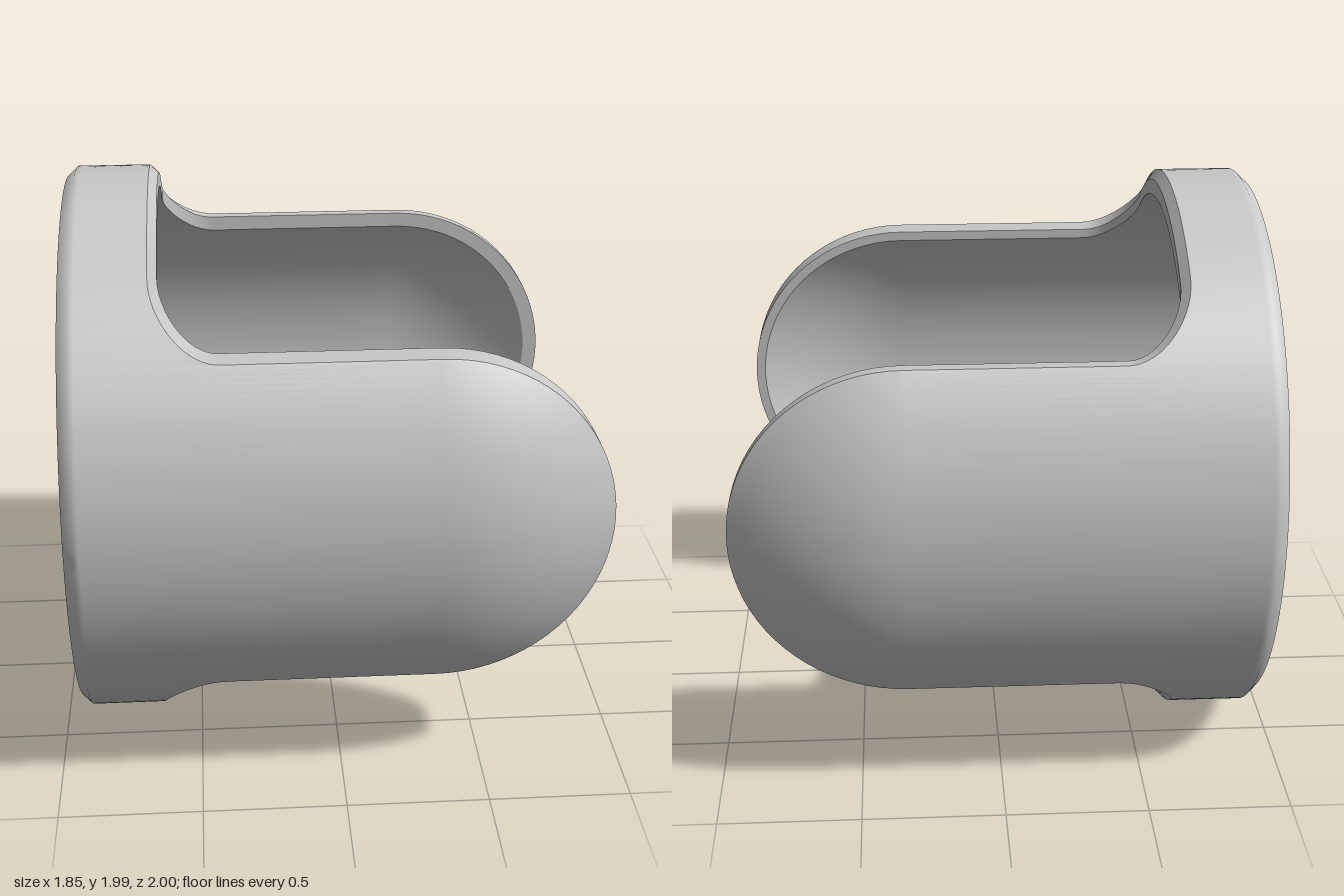
import * as THREE from 'three';
import { toCreasedNormals } from 'three/addons/utils/BufferGeometryUtils.js';

const BACK = -0.925, FLOOR = -0.845, DOME = 0.325; // stations along the x axis
const R_OUT = 1, R_IN = 0.915, MID_Y = 0.9925;
const BORE_Z = -0.02; // the hollow sits slightly behind the outer axis
const DOME_STEPS = 8;

// Cut line of one quarter: outer edge o, rim corner m, inner edge n
function rimPath(cut, boreZ) {
  const path = [];
  const add = (xo, zo, xn, zn, k) => {
    const yo = Math.sqrt(1 - zo * zo);
    path.push({
      o: [xo, yo, zo],
      m: [xn, yo * k, zn],
      n: [xn, Math.sqrt(R_IN ** 2 - (zn - boreZ) ** 2), zn],
    });
  };
  // collar edge
  for (let i = 0; i < 14; i++) add(-0.63, 0.57 * i / 14, -0.6, (cut - 0.2) * i / 14, 0.97);
  // rounded corner between collar and arm
  for (let i = 0; i <= 12; i++) {
    const a = i / 12 * Math.PI / 2, c = Math.cos(a), s = Math.sin(a);
    add(-0.4 - 0.23 * c, 0.57 + 0.23 * s, -0.4 - 0.2 * c, cut - 0.2 + 0.2 * s, 0.97 + 0.03 * i / 12);
  }
  // round arm tip
  const rn = Math.sqrt(R_IN ** 2 - (cut - boreZ) ** 2);
  for (let i = 0; i <= 20; i++) {
    const b = i / 20 * Math.PI / 2;
    const c = i === 20 ? 0 : Math.cos(b), s = Math.sin(b);
    path.push({
      o: [DOME + 0.6 * s, 0.6 * c, 0.8],
      m: [DOME + 0.6 * s, 0.6 * c, cut],
      n: [DOME + rn * s, rn * c, cut],
    });
  }
  return path;
}

// Line along a capsule wall from the back centre to an edge point
function wallColumn([x, y, z], radius, axisZ, backProfile) {
  const len = Math.hypot(y, z - axisZ), cy = y / len, cz = (z - axisZ) / len;
  const col = [];
  const add = (px, r) => col.push([px, r * cy, axisZ + r * cz]);
  for (const [px, r] of backProfile) add(px, r);
  const xs = Math.min(x, DOME);
  add(xs, radius);
  const end = Math.asin(Math.min(1, Math.max(0, x - DOME) / radius));
  for (let i = 1; i <= DOME_STEPS; i++) {
    const a = end * i / DOME_STEPS;
    add(xs + radius * Math.sin(a), radius * Math.cos(a));
  }
  return col;
}

// Skin neighbouring columns, mirrored into the given quarter
function skin(columns, sy, sz, out) {
  const v = new THREE.Vector3(), w = new THREE.Vector3();
  const tri = (a, b, c) => {
    v.set(b[0] - a[0], b[1] - a[1], b[2] - a[2]);
    w.set(c[0] - a[0], c[1] - a[1], c[2] - a[2]);
    if (v.cross(w).length() < 1e-8) return;
    const order = sy * sz > 0 ? [a, b, c] : [a, c, b];
    for (const p of order) out.push(p[0], MID_Y + MID_Y * sy * p[1], sz * p[2]);
  };
  for (let i = 0; i < columns.length - 1; i++) {
    const p = columns[i], q = columns[i + 1];
    for (let j = 0; j < p.length - 1; j++) {
      tri(p[j], q[j], q[j + 1]);
      tri(p[j], q[j + 1], p[j + 1]);
    }
  }
}

export function createModel() {
  const group = new THREE.Group();
  group.name = 'twoArmedCup';
  const grey = new THREE.MeshStandardMaterial({ color: 0xc8c8c8 });
  grey.name = 'grey';

  // back face, softened bevel, and a ring that keeps the wall shading even
  const outerBack = [[BACK, 0], [BACK, 0.967], [-0.89, R_OUT], [-0.87, R_OUT]];
  const innerBack = [[FLOOR, 0], [FLOOR, R_IN]];
  const parts = [
    { name: 'outerShell', crease: 0.78, column: (p) => wallColumn(p.o, R_OUT, 0, outerBack) },
    { name: 'rim', crease: 0.4, column: (p) => [p.o, p.m, p.n] },
    { name: 'innerLining', crease: 0.5, column: (p, boreZ) => wallColumn(p.n, R_IN, boreZ, innerBack).reverse() },
  ];

  for (const { name, crease, column } of parts) {
    const positions = [];
    for (const sz of [1, -1]) {
      // the rear arm is cut back further than the front one
      const boreZ = sz * BORE_Z;
      const columns = rimPath(sz > 0 ? 0.7 : 0.755, boreZ).map((p) => column(p, boreZ));
      for (const sy of [1, -1]) skin(columns, sy, sz, positions);
    }
    const geometry = new THREE.BufferGeometry();
    geometry.setAttribute('position', new THREE.Float32BufferAttribute(positions, 3));
    const mesh = new THREE.Mesh(toCreasedNormals(geometry, crease), grey);
    mesh.name = name;
    group.add(mesh);
  }
  return group;
}
